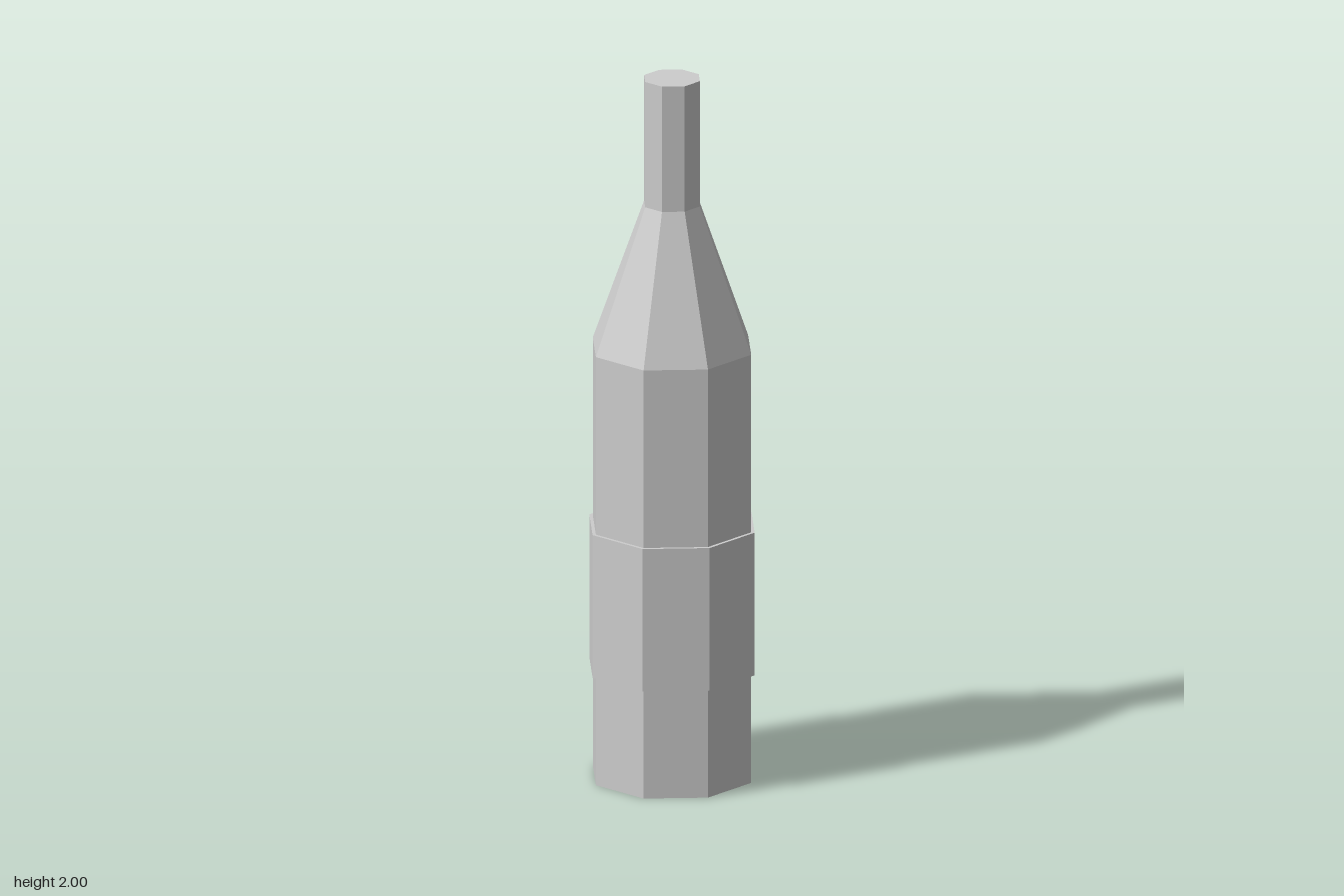
import * as THREE from 'three';

const SIDES = 8;

export function createModel() {
  const glass = new THREE.MeshStandardMaterial({ color: 0xcccccc, flatShading: true });
  glass.name = 'lightGrey';
  const model = new THREE.Group();
  model.name = 'bottle';

  const addPart = (name, geometry) => {
    const mesh = new THREE.Mesh(geometry, glass);
    mesh.name = name;
    model.add(mesh);
  };
  // Eight-sided surface turned from [radius, height] points, listed bottom to top
  const turned = (points) =>
    new THREE.LatheGeometry(points.map(([r, y]) => new THREE.Vector2(r, y)), SIDES);
  // Flat eight-sided end cap facing up (1) or down (-1)
  const cap = (radius, y, facing) =>
    new THREE.CircleGeometry(radius, SIDES).rotateX(-facing * Math.PI / 2).translate(0, y, 0);

  // Bottle walls
  addPart('body', turned([[0.23, 0], [0.23, 1.23]]));
  addPart('shoulder', turned([[0.23, 1.23], [0.081, 1.64]]));
  addPart('neck', turned([[0.081, 1.64], [0.081, 2]]));

  // Closed ends
  addPart('base', cap(0.23, 0, -1));
  addPart('mouth', cap(0.081, 2, 1));

  // Raised label band with ledges above and below
  addPart('labelBand', turned([[0.23, 0.31], [0.24, 0.31], [0.24, 0.72], [0.23, 0.72]]));

  return model;
}
